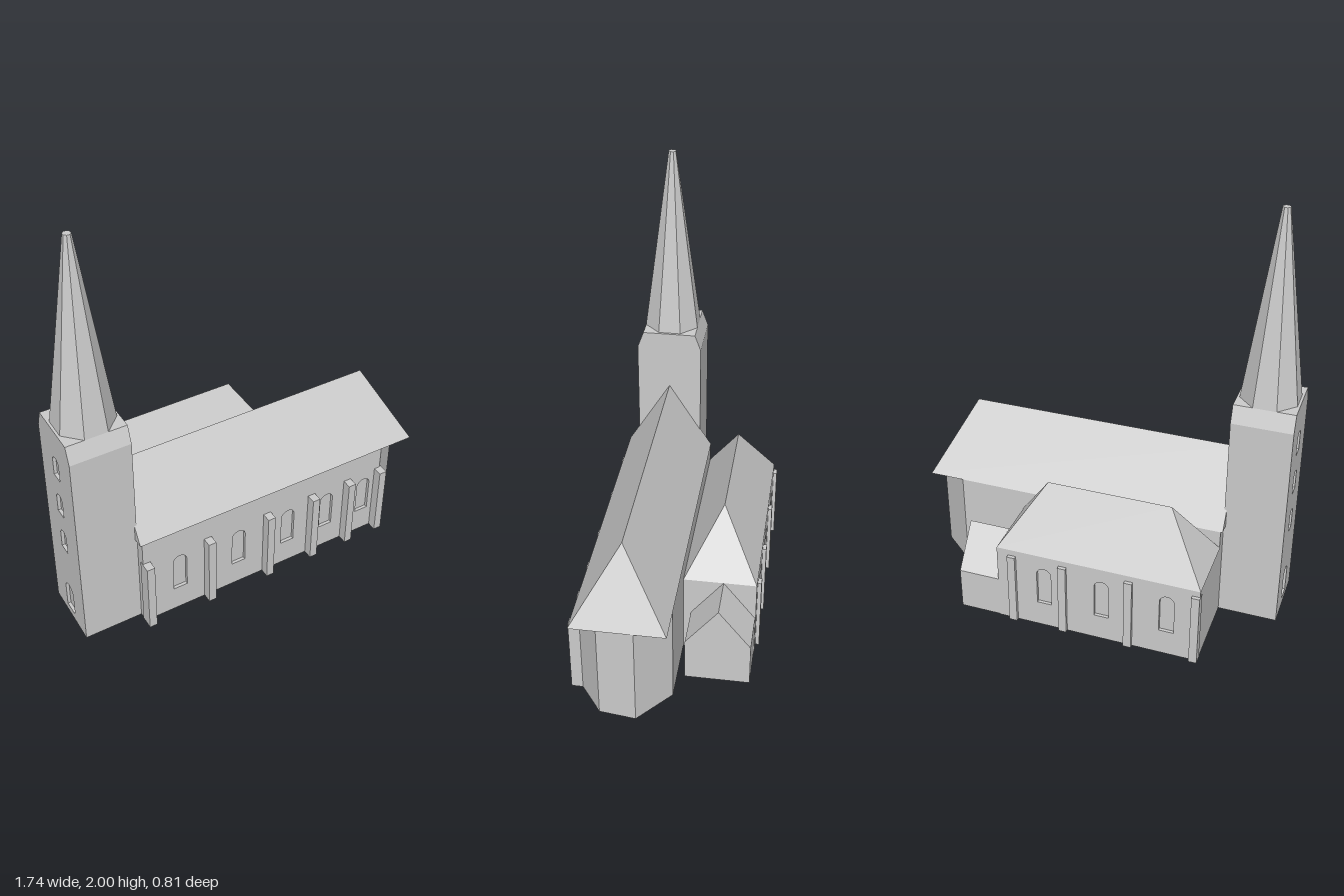
import * as THREE from 'three';
import { ConvexGeometry } from 'three/addons/geometries/ConvexGeometry.js';

export function createModel() {
  const group = new THREE.Group();
  const stone = new THREE.MeshStandardMaterial({ color: 0xcccccc });
  stone.name = 'paleStone';

  function add(name, geometry) {
    const mesh = new THREE.Mesh(geometry, stone);
    mesh.name = name;
    group.add(mesh);
    return mesh;
  }

  // Box given by its minimum and maximum on each axis
  function block(name, x0, x1, y0, y1, z0, z1) {
    const g = new THREE.BoxGeometry(x1 - x0, y1 - y0, z1 - z0);
    g.translate((x0 + x1) / 2, (y0 + y1) / 2, (z0 + z1) / 2);
    return add(name, g);
  }

  const outline = (pts) => new THREE.Shape(pts.map(([x, y]) => new THREE.Vector2(x, y)));

  // Round-headed opening: centre u, sill height, width, total height
  function arch(u, sill, width, height) {
    const r = width / 2;
    const p = new THREE.Path();
    p.moveTo(u - r, sill);
    p.lineTo(u + r, sill);
    p.lineTo(u + r, sill + height - r);
    p.absarc(u, sill + height - r, r, 0, Math.PI, false);
    p.lineTo(u - r, sill);
    return p;
  }

  // Upright slab, pushed out along its own facing direction
  function slab(name, shape, depth, turn, x, z, holes = []) {
    shape.holes.push(...holes);
    const g = new THREE.ExtrudeGeometry(shape, { depth, bevelEnabled: false, curveSegments: 10 });
    g.rotateY(turn);
    g.translate(x, 0, z);
    return add(name, g);
  }

  const hull = (name, pts) =>
    add(name, new ConvexGeometry(pts.map((p) => new THREE.Vector3(...p))));

  // Roof with a ridge along x; ridge ends r0, r1 set back from the eaves make hips
  function roof(name, x0, x1, r0, r1, eave, ridge, zBack, zFront, zRidge) {
    hull(name, [
      [x0, eave, zBack], [x0, eave, zFront], [x1, eave, zBack], [x1, eave, zFront],
      [r0, ridge, zRidge], [r1, ridge, zRidge],
    ]);
  }

  const recess = 0.015;
  const rect = (x0, x1, h) => outline([[x0, 0], [x1, 0], [x1, h], [x0, h]]);

  // Nave: solid core with a windowed front wall
  block('naveCore', -0.59, 0.69, 0, 0.49, -0.055, 0.36 - recess);
  slab('naveFrontWall', rect(-0.59, 0.69, 0.49), recess, 0, 0, 0.36 - recess,
    [-0.405, -0.095, 0.175, 0.395, 0.61].map((x) => arch(x, 0.13, 0.07, 0.2)));
  roof('naveRoof', -0.6, 0.867, -0.6, 0.69, 0.49, 0.83, -0.056, 0.365, 0.156);

  // Apse: faceted east end, shape y is -z
  const apse = new THREE.ExtrudeGeometry(
    outline([[0.69, -0.36], [0.7, -0.36], [0.845, -0.25], [0.865, -0.085], [0.7, 0.055], [0.69, 0.055]]),
    { depth: 0.49, bevelEnabled: false });
  apse.rotateX(-Math.PI / 2);
  add('apse', apse);

  // Side aisle at the back
  block('aisleCore', -0.59, 0.38, 0, 0.4, -0.388 + recess, -0.055);
  slab('aisleBackWall', rect(-0.38, 0.59, 0.4), recess, Math.PI, 0, -0.388 + recess,
    [-0.15, 0.13, 0.44].map((u) => arch(u, 0.13, 0.07, 0.2)));
  roof('aisleRoof', -0.592, 0.38, -0.4, 0.185, 0.4, 0.695, -0.388, -0.055, -0.216);

  // Gabled porch at the end of the aisle
  slab('porch', outline([[0.09, 0], [0.385, 0], [0.385, 0.21], [0.238, 0.4], [0.09, 0.21]]),
    0.2, Math.PI / 2, 0.378, 0);

  // Buttresses
  for (const x of [-0.573, -0.26, 0.057, 0.305, 0.51, 0.69])
    block('frontButtress', x - 0.019, x + 0.019, 0, 0.37, 0.34, 0.405);
  for (const x of [-0.573, -0.26, 0.057, 0.305])
    block('backButtress', x - 0.019, x + 0.019, 0, 0.37, -0.405, -0.36);

  // Tower with chamfered shoulders, windows and a door on the end wall
  const towerX = -0.73, towerZ = 0.157;
  const towerProfile = () => outline(
    [[-0.157, 0], [0.157, 0], [0.157, 1.04], [0.128, 1.12], [-0.128, 1.12], [-0.157, 1.04]]);
  slab('towerCore', towerProfile(), 0.28 - recess, -Math.PI / 2, -0.59, towerZ);
  slab('towerEndWall', towerProfile(), recess, -Math.PI / 2, -0.87 + recess, towerZ, [
    arch(0, 0.04, 0.08, 0.16),
    ...[0.43, 0.645, 0.855].map((y) => arch(0, y, 0.06, 0.11)),
  ]);

  // Octagonal spire
  let spire = new THREE.CylinderGeometry(0.018, 0.139, 0.88, 8);
  spire.rotateY(Math.PI / 8);
  spire.translate(towerX, 1.56, towerZ);
  spire = spire.toNonIndexed();
  spire.computeVertexNormals();
  add('spire', spire);

  return group;
}
